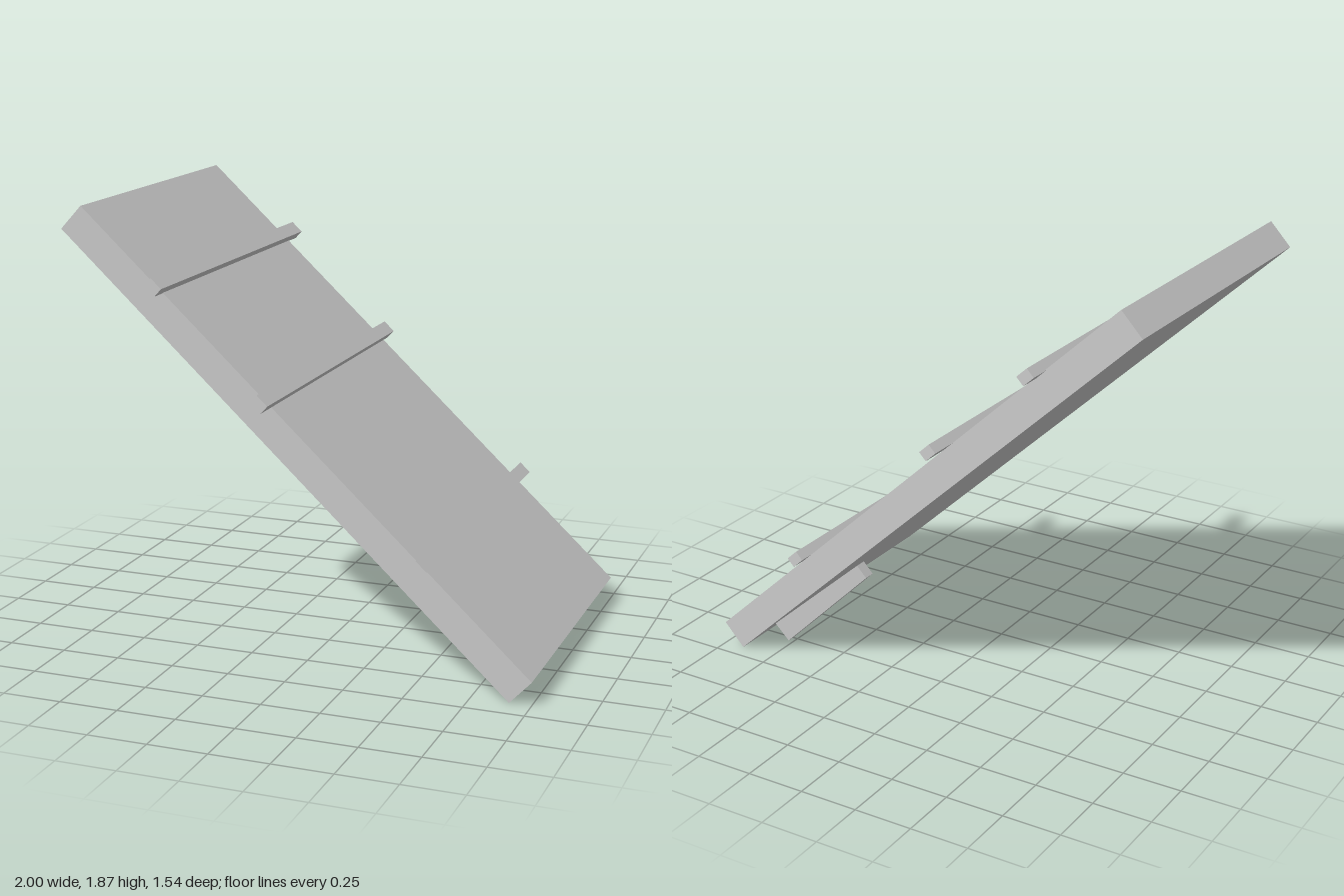
import * as THREE from 'three';

const material = new THREE.MeshStandardMaterial({ color: 0xcccccc, flatShading: true });
const SLOPE = -Math.atan2(1.77, 1.907);

// Box running across the ramp, tilted to the ramp's slope
function tiltedBox(name, length, thickness, x, y, zMin, zMax) {
  const mesh = new THREE.Mesh(new THREE.BoxGeometry(length, thickness, zMax - zMin), material);
  mesh.name = name;
  mesh.position.set(x, y, (zMin + zMax) / 2);
  mesh.rotation.z = SLOPE;
  return mesh;
}

export function createModel() {
  const group = new THREE.Group();
  group.name = 'ramp';

  // Sloping main board
  group.add(tiltedBox('rampBoard', 2.602, 0.133, 0, 0.937, -0.683, 0.645));

  // Three cross cleats, each shifted a little sideways
  const cleats = [
    [-0.563, 1.575, -0.775, 0.717],
    [-0.092, 1.152, -0.722, 0.77],
    [0.557, 0.541, -0.747, 0.743],
  ];
  cleats.forEach(([x, y, z0, z1], i) => {
    group.add(tiltedBox('cleat' + (i + 1), 0.061, 0.044, x, y, z0, z1));
  });

  // Thin brace under the low end, slightly skewed in z
  const outline = new THREE.Shape([
    new THREE.Vector2(0.365, 0.402),
    new THREE.Vector2(0.745, 0.028),
    new THREE.Vector2(0.805, 0.1),
    new THREE.Vector2(0.405, 0.453),
  ]);
  const geometry = new THREE.ExtrudeGeometry(outline, { depth: 0.05, bevelEnabled: false });
  const pos = geometry.attributes.position;
  for (let i = 0; i < pos.count; i++) {
    pos.setZ(i, pos.getZ(i) - 0.57 + 0.158 * (0.745 - pos.getX(i)));
  }
  geometry.computeVertexNormals();
  const brace = new THREE.Mesh(geometry, material);
  brace.name = 'underBrace';
  group.add(brace);

  return group;
}
